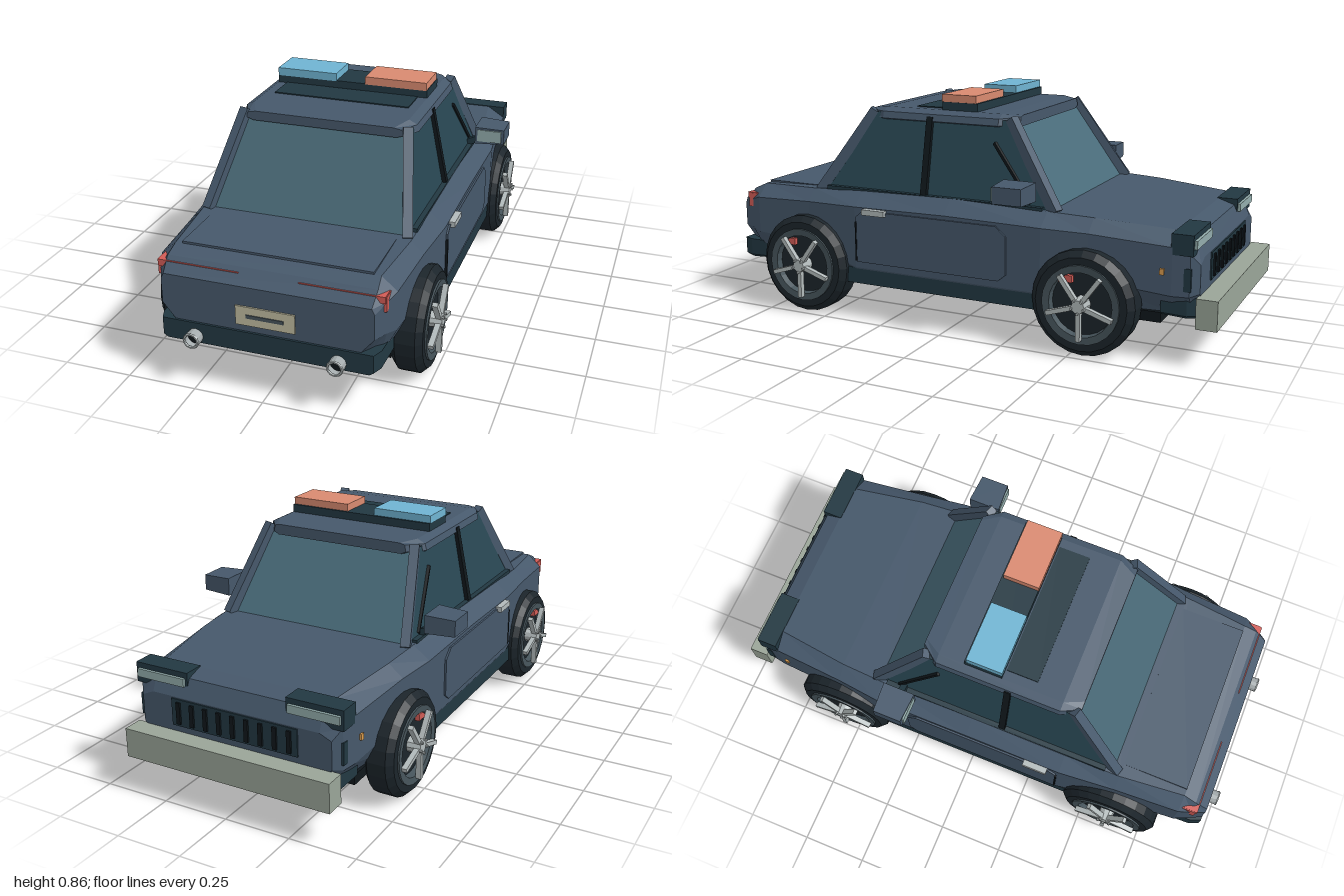
import * as THREE from 'three';

const mat = (color, opts = {}) => {
  const m = new THREE.MeshStandardMaterial({ flatShading: true, ...opts });
  m.color.set(color);
  return m;
};
const M = {
  body: mat(0x46586b), trim: mat(0x223842), black: mat(0x10171b), tyre: mat(0x1c252b),
  glass: mat(0x4a6c7b), sideGlass: mat(0x294753), chrome: mat(0xb2babb), rim: mat(0x46545b),
  bar: mat(0x9aa598), red: mat(0xd25c56), blue: mat(0x6fb4d2), orange: mat(0xd98a70),
  plate: mat(0xbfbba0), lens: mat(0x93adac), amber: mat(0xe0a050),
  pipe: mat(0xa5acae, { side: THREE.DoubleSide }),
};

// Symmetric loft from rear to nose. Section: z, then (x, y) pairs up the left side.
function loft(sections) {
  const rings = sections.map(([z, ...p]) => {
    const side = [];
    for (let i = 0; i < p.length; i += 2) side.push([p[i], p[i + 1], z]);
    return [...side, ...side.map(([x, y]) => [-x, y, z]).reverse()];
  });
  const n = rings[0].length, pos = [];
  for (let i = 0; i < rings.length - 1; i++) {
    for (let j = 0; j < n; j++) {
      const k = (j + 1) % n;
      const [a, b, c, d] = [rings[i][j], rings[i][k], rings[i + 1][j], rings[i + 1][k]];
      pos.push(...a, ...c, ...b, ...c, ...d, ...b);
    }
  }
  const last = rings[rings.length - 1];
  for (let j = 1; j < n - 1; j++) {
    pos.push(...rings[0][0], ...rings[0][j], ...rings[0][j + 1]);
    pos.push(...last[0], ...last[j + 1], ...last[j]);
  }
  const g = new THREE.BufferGeometry();
  g.setAttribute('position', new THREE.Float32BufferAttribute(pos, 3));
  g.computeVertexNormals();
  return g;
}

export function createModel() {
  const car = new THREE.Group();
  car.name = 'patrolCar';

  const add = (name, geo, material, x = 0, y = 0, z = 0, parent = car) => {
    const m = new THREE.Mesh(geo, material);
    m.name = name;
    m.position.set(x, y, z);
    parent.add(m);
    return m;
  };
  // Box given by its limits
  const box = (name, material, x0, x1, y0, y1, z0, z1) =>
    add(name, new THREE.BoxGeometry(x1 - x0, y1 - y0, z1 - z0), material,
      (x0 + x1) / 2, (y0 + y1) / 2, (z0 + z1) / 2);
  // Same box on both sides
  const pair = (name, material, x0, x1, ...r) => {
    box(name + 'Left', material, x0, x1, ...r);
    box(name + 'Right', material, -x1, -x0, ...r);
  };
  // Straight bar between two points
  const strut = (name, material, a, b, w, d) => {
    const p = new THREE.Vector3(...a), q = new THREE.Vector3(...b);
    const m = add(name, new THREE.BoxGeometry(w, d, p.distanceTo(q)), material);
    m.position.copy(p).add(q).multiplyScalar(0.5);
    m.lookAt(q);
  };

  // Body shell
  add('body', loft([
    [0.95, 0.33, 0.235, 0.375, 0.29, 0.375, 0.38, 0.365, 0.40],
    [0.90, 0.35, 0.22, 0.40, 0.29, 0.40, 0.405, 0.37, 0.445],
    [0.85, 0.36, 0.16, 0.42, 0.28, 0.42, 0.42, 0.365, 0.468],
    [0.60, 0.38, 0.145, 0.435, 0.27, 0.435, 0.43, 0.39, 0.475],
    [0.38, 0.42, 0.135, 0.455, 0.20, 0.455, 0.435, 0.395, 0.485],
    [0.00, 0.42, 0.135, 0.455, 0.20, 0.455, 0.44, 0.395, 0.492],
    [-0.38, 0.42, 0.135, 0.455, 0.20, 0.455, 0.435, 0.39, 0.482],
    [-0.55, 0.38, 0.145, 0.435, 0.27, 0.435, 0.43, 0.38, 0.475],
    [-0.84, 0.36, 0.165, 0.41, 0.24, 0.41, 0.41, 0.34, 0.455],
    [-0.90, 0.35, 0.175, 0.40, 0.24, 0.40, 0.39, 0.33, 0.435],
    [-0.93, 0.33, 0.20, 0.375, 0.25, 0.375, 0.35, 0.33, 0.37],
  ]), M.body);
  box('underside', M.black, -0.385, 0.385, 0.133, 0.17, -0.80, 0.80);
  pair('sill', M.trim, 0.40, 0.452, 0.137, 0.198, -0.36, 0.42);
  box('trunkLid', M.body, -0.34, 0.34, 0.46, 0.476, 0.60, 0.85);

  // Cabin glass: a box narrowed towards the roof; side faces are darker
  const cabin = new THREE.BoxGeometry(1, 1, 1);
  const cp = cabin.attributes.position;
  for (let i = 0; i < cp.count; i++) {
    const top = cp.getY(i) > 0, rear = cp.getZ(i) > 0;
    cp.setXYZ(i, Math.sign(cp.getX(i)) * (top ? 0.318 : 0.38), top ? 0.78 : 0.465,
      rear ? (top ? 0.365 : 0.578) : (top ? -0.20 : -0.40));
  }
  cabin.computeVertexNormals();
  add('cabinGlass', cabin, [M.sideGlass, M.sideGlass, M.trim, M.trim, M.sideGlass.clone(), M.glass]);
  car.getObjectByName('cabinGlass').material[4].color.set(0x466673);

  // Roof
  add('roof', loft([
    [0.39, 0.27, 0.755, 0.30, 0.765, 0.29, 0.785, 0.26, 0.79],
    [0.32, 0.31, 0.75, 0.332, 0.76, 0.325, 0.785, 0.295, 0.80],
    [-0.16, 0.31, 0.75, 0.332, 0.76, 0.325, 0.785, 0.295, 0.80],
    [-0.225, 0.26, 0.755, 0.28, 0.765, 0.275, 0.79, 0.255, 0.795],
  ]), M.body);
  box('sunroof', M.trim, -0.26, 0.26, 0.79, 0.804, 0.09, 0.21);

  for (const s of [1, -1]) {
    strut('frontPillar', M.body, [s * 0.372, 0.475, -0.405], [s * 0.305, 0.785, -0.20], 0.035, 0.04);
    strut('rearPillar', M.body, [s * 0.372, 0.47, 0.58], [s * 0.305, 0.785, 0.365], 0.035, 0.04);
    strut('middlePillar', M.black, [s * 0.384, 0.475, 0.12], [s * 0.322, 0.775, 0.12], 0.025, 0.02);
    strut('beltRail', M.trim, [s * 0.384, 0.485, -0.36], [s * 0.384, 0.485, 0.54], 0.02, 0.014);
    strut('quarterFrame', M.black, [s * 0.373, 0.50, -0.31], [s * 0.336, 0.70, -0.15], 0.015, 0.012);

    // Door panel with clipped corners
    const panel = new THREE.Shape([[-0.25, 0.25], [-0.22, 0.225], [0.37, 0.225], [0.37, 0.40],
      [0.34, 0.425], [-0.21, 0.425], [-0.25, 0.39]].map(([a, b]) => new THREE.Vector2(-a, b)));
    const door = add('doorPanel', new THREE.ExtrudeGeometry(panel,
      { depth: 0.015, bevelEnabled: false }), M.body, s > 0 ? 0.447 : -0.462);
    door.rotation.y = Math.PI / 2;

    // Mirror
    const mirror = add('mirror', new THREE.CylinderGeometry(0.078, 0.088, 0.115, 4, 1, false, Math.PI / 4),
      M.body, s * 0.473, 0.553, -0.285);
    mirror.rotation.z = s * -Math.PI / 2;
    mirror.scale.set(0.55, 1, 1);
    strut('mirrorArm', M.trim, [s * 0.36, 0.49, -0.29], [s * 0.44, 0.53, -0.285], 0.025, 0.025);

    // Exhaust
    const pipe = add('exhaust', new THREE.CylinderGeometry(0.028, 0.028, 0.16, 12, 1, true),
      M.pipe, s * 0.255, 0.185, 0.915);
    pipe.rotation.x = Math.PI / 2;
    add('exhaustRim', new THREE.TorusGeometry(0.025, 0.005, 6, 12), M.chrome, s * 0.255, 0.185, 0.994);
    add('exhaustBore', new THREE.CircleGeometry(0.026, 12), M.black, s * 0.255, 0.185, 0.965);
  }
  pair('mirrorGlass', M.lens, 0.425, 0.52, 0.53, 0.578, -0.228, -0.221);
  pair('doorHandle', M.chrome, 0.45, 0.478, 0.413, 0.434, 0.24, 0.335);
  pair('doorSeam', M.black, 0.45, 0.464, 0.23, 0.38, 0.368, 0.374);
  pair('sideMarker', M.amber, 0.405, 0.42, 0.313, 0.335, -0.815, -0.80);

  // Rear end
  const bumper = (z0, z1, z2) => loft([
    [z0, 0.36, 0.16, 0.375, 0.17, 0.375, 0.235],
    [z1, 0.38, 0.16, 0.39, 0.17, 0.39, 0.235],
    [z2, 0.38, 0.165, 0.395, 0.175, 0.395, 0.235],
  ]);
  add('rearBumper', bumper(0.958, 0.92, 0.80), M.trim);
  pair('tailLight', M.red, 0.105, 0.40, 0.408, 0.432, 0.86, 0.918);
  pair('tailLightCorner', M.red, 0.38, 0.403, 0.375, 0.43, 0.855, 0.912);
  box('numberPlate', M.plate, -0.105, 0.105, 0.26, 0.33, 0.94, 0.956);
  box('plateRecess', M.rim, -0.067, 0.067, 0.289, 0.302, 0.95, 0.959);

  // Nose
  const frontBumper = add('frontBumper', bumper(0.92, 0.89, 0.80), M.trim);
  frontBumper.rotation.y = Math.PI;
  box('pushBar', M.bar, -0.405, 0.405, 0.135, 0.242, -1.0, -0.925);
  box('grille', M.trim, -0.25, 0.25, 0.265, 0.365, -0.935, -0.90);
  for (let i = 0; i < 9; i++) {
    const x = -0.22 + i * 0.055;
    box('grilleSlat', M.black, x - 0.008, x + 0.008, 0.275, 0.355, -0.942, -0.93);
  }
  pair('headlightHousing', M.trim, 0.195, 0.41, 0.385, 0.458, -0.912, -0.835);
  pair('headlight', M.lens, 0.205, 0.40, 0.408, 0.438, -0.922, -0.90);
  pair('cornerVent', M.trim, 0.36, 0.405, 0.26, 0.34, -0.905, -0.88);

  // Roof lights
  box('lightBase', M.trim, -0.295, 0.295, 0.795, 0.83, -0.06, 0.085);
  box('blueLight', M.blue, -0.295, -0.06, 0.828, 0.858, -0.052, 0.087);
  box('orangeLight', M.orange, 0.055, 0.293, 0.828, 0.858, -0.052, 0.087);

  // Wheels: lathe tyre, dished rim, five spokes; outer side at +y before turning
  const v = (x, y) => new THREE.Vector2(x, y);
  const tyre = new THREE.LatheGeometry([v(0, -0.058), v(0.165, -0.058), v(0.19, -0.035),
    v(0.19, 0.035), v(0.168, 0.057), v(0.14, 0.057), v(0.132, 0.035), v(0, 0.035)], 24);
  const ring = new THREE.LatheGeometry([v(0.142, 0.05), v(0.142, 0.064), v(0.116, 0.062), v(0.112, 0.036)], 24);
  for (const s of [1, -1]) {
    for (const z of [0.605, -0.545]) {
      const wheel = new THREE.Group();
      wheel.name = 'wheel';
      wheel.position.set(s * 0.428, 0.19, z);
      wheel.rotation.z = -s * Math.PI / 2;
      add('tyre', tyre, M.tyre, 0, 0, 0, wheel);
      add('rimRing', ring, M.rim, 0, 0, 0, wheel);
      add('hub', new THREE.CylinderGeometry(0.024, 0.03, 0.05, 10), M.chrome, 0, 0.06, 0, wheel);
      add('brakeCaliper', new THREE.BoxGeometry(0.025, 0.02, 0.05), M.red, -s * 0.085, 0.042, 0.06, wheel);
      for (let i = 0; i < 5; i++) {
        const spoke = new THREE.Group();
        spoke.name = 'spoke';
        spoke.rotation.y = i * Math.PI * 0.4 + (s > 0 ? Math.PI : 0);
        add('spokeBar', new THREE.BoxGeometry(0.12, 0.02, 0.016), M.chrome, -0.066, 0.072, 0, spoke);
        add('wheelBolt', new THREE.CylinderGeometry(0.005, 0.005, 0.018, 6), M.chrome, -0.024, 0.083, 0, spoke);
        wheel.add(spoke);
      }
      car.add(wheel);
    }
  }
  return car;
}
